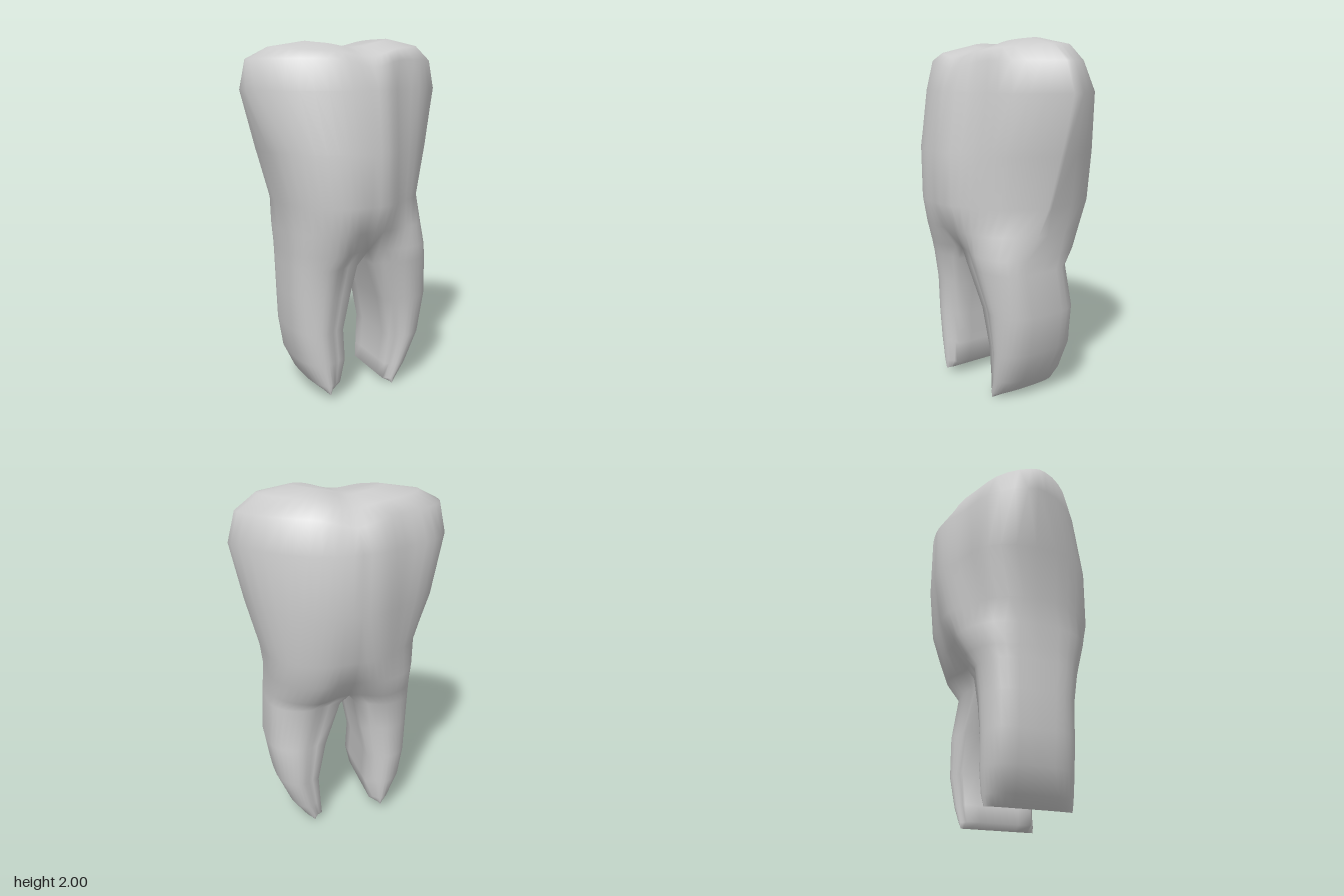
import * as THREE from 'three';
import { mergeVertices } from 'three/addons/utils/BufferGeometryUtils.js';

const ARC = 24, WALL = 5;

// Cross-sections from the chewing surface down to the fork:
// y, outer x (+x half), outer x (-x half), front z, back z, groove depth, side roundness,
// the fullness of each corner: +x front, +x back, -x front, -x back (high is hollow),
// and the depth of the flutes
const crown = [
  [1.99, 0, 0, 0, 0, 0, 1, 1, 1, 1, 1, 0],
  [2.0, 0.26, 0.24, 0.14, -0.14, 0, 1, 1, 1, 1, 1, 0],
  [1.965, 0.44, 0.45, 0.32, -0.3, 0.02, 1, 1.4, 1.1, 1.2, 1.2, 0.01],
  [1.88, 0.555, 0.575, 0.36, -0.365, 0.01, 1, 1.8, 1.35, 1.3, 1.25, 0.03],
  [1.72, 0.6, 0.6, 0.405, -0.445, 0, 1, 1.9, 1.35, 1.25, 1.2, 0.045],
  [1.4, 0.53, 0.505, 0.445, -0.445, 0.01, 0.95, 1.9, 1, 0.75, 0.8, 0.05],
  [1.12, 0.455, 0.44, 0.455, -0.41, 0.04, 0.85, 2, 0.65, 0.8, 0.95, 0.055],
  [0.97, 0.435, 0.425, 0.415, -0.36, 0.1, 0.8, 1.1, 0.7, 0.65, 0.8, 0.045],
  [0.85, 0.43, 0.415, 0.38, -0.31, 0.24, 0.75, 0.65, 0.75, 0.65, 0.7, 0.025],
];

// Root cross-sections going down: y, inner x, outer x, front z, back z
const roots = {
  1: [
    [0.77, 0.035, 0.433, 0.345, -0.215],
    [0.53, 0.13, 0.45, 0.305, -0.24],
    [0.3, 0.175, 0.41, 0.285, -0.24],
    [0.12, 0.16, 0.33, 0.26, -0.22],
    [0.03, 0.15, 0.26, 0.25, -0.205],
    [0.0, 0.2, 0.2, 0.245, -0.195],
  ],
  '-1': [
    [0.77, 0.06, 0.41, 0.345, -0.265],
    [0.6, 0.09, 0.405, 0.315, -0.245],
    [0.4, 0.13, 0.395, 0.305, -0.24],
    [0.22, 0.12, 0.365, 0.305, -0.235],
    [0.09, 0.15, 0.3, 0.305, -0.22],
    [0.035, 0.21, 0.23, 0.3, -0.205],
  ],
};

const bump = (x, centre, width) => Math.exp(-Math.pow((x - centre) / width, 2));

// One half section: a rounded arc from front to back, then a straight inner wall
function section(side, y, xi, xo, zf, zb, groove, round, frontPow, backPow, flute) {
  const pts = [], zm = (zf + zb) / 2, hz = (zf - zb) / 2;
  for (let j = 0; j <= ARC; j++) {
    // Samples gather toward the middle plane, where the groove is narrow
    const t = j / ARC, a = Math.PI * (t - 0.07 * Math.sin(2 * Math.PI * t));
    const c = j * 2 === ARC ? 0 : Math.cos(a);
    const s = j === ARC ? 0 : Math.sin(a);
    const x = xi + (xo - xi) * Math.pow(s, round);
    const pinch = 1 - groove * bump(s, 0, 0.22);
    let z = zm + hz * Math.sign(c) * Math.pow(Math.abs(c), c > 0 ? frontPow : backPow) * pinch;
    // Shallow vertical flutes on the +x front and the -x back, fading out at the middle plane
    const fade = Math.min(1, x / 0.12);
    if (side > 0 && c > 0) z -= flute * fade * bump(x, 0.2, 0.11);
    if (side < 0 && c < 0 && y > 1) z += flute * fade * bump(x, 0.28, 0.13);
    // Valley between the cusps, a lower -x cusp and a lower front rim
    let drop = 0;
    if (y > 1.8) drop += 0.045 * bump(x, 0, 0.13);
    if (y > 1.9) drop += 0.09 * Math.max(z, 0) + (side < 0 ? 0.02 * Math.min(1, x / 0.2) : 0);
    pts.push([side * x, y - drop, z]);
  }
  const back = pts[ARC], front = pts[0];
  for (let k = 1; k <= WALL; k++) {
    const t = k / WALL;
    pts.push([side * xi, y, back[2] + (front[2] - back[2]) * t]);
  }
  return pts;
}

function createModel() {
  const positions = [], index = [];
  for (const side of [1, -1]) {
    const rows = crown.map(([y, xr, xl, zf, zb, groove, round, fr, br, fl, bl, flute]) =>
      side > 0
        ? section(side, y, 0, xr, zf, zb, groove, round, fr, br, flute)
        : section(side, y, 0, xl, zf, zb, groove, round, fl, bl, flute));
    for (const [y, xi, xo, zf, zb] of roots[side]) {
      rows.push(section(side, y, xi, xo, zf, zb, 0.2, 0.7, 0.6, 0.6, 0));
    }
    const base = positions.length / 3, n = ARC + WALL + 1;
    rows.forEach((row) => row.forEach((p) => positions.push(...p)));
    const tri = (a, b, c) => (side > 0 ? index.push(a, b, c) : index.push(a, c, b));
    for (let i = 0; i < rows.length - 1; i++) {
      // The inner wall exists only below the fork
      const segments = i < crown.length - 1 ? ARC : ARC + WALL;
      for (let j = 0; j < segments; j++) {
        const a = base + i * n + j, b = a + n;
        tri(a, b, a + 1);
        tri(a + 1, b, b + 1);
      }
    }
  }
  let geometry = new THREE.BufferGeometry();
  geometry.setAttribute('position', new THREE.Float32BufferAttribute(positions, 3));
  geometry.setIndex(index);
  geometry = mergeVertices(geometry, 1e-4);
  geometry.computeVertexNormals();

  const tooth = new THREE.Mesh(geometry, new THREE.MeshStandardMaterial({ color: 0xcccccc }));
  tooth.name = 'toothCrownAndRoots';
  const group = new THREE.Group();
  group.name = 'molarTooth';
  group.add(tooth);
  return group;
}

export { createModel };
